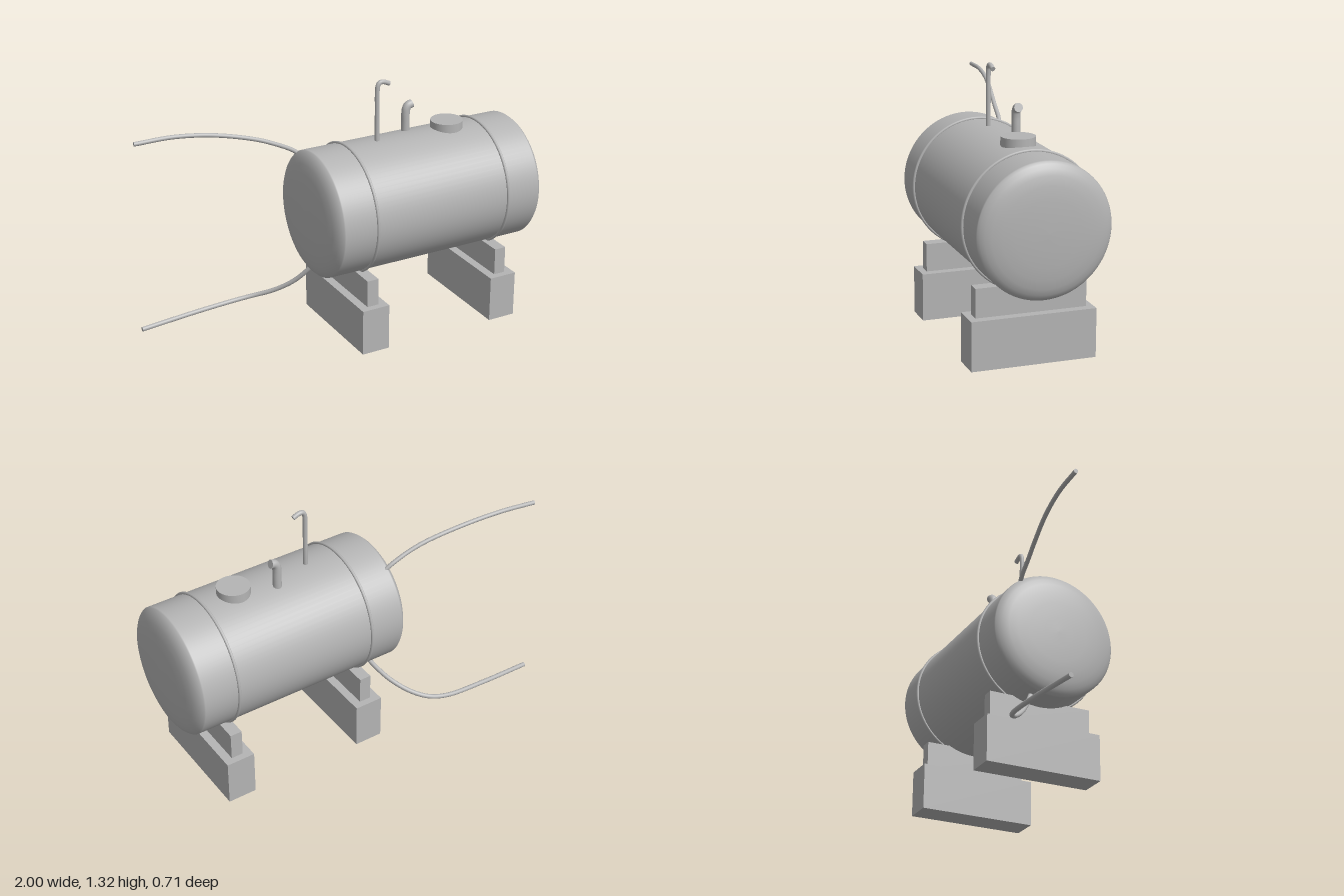
import * as THREE from 'three';

const AXIS_Y = 0.677, AXIS_Z = 0.013, RADIUS = 0.327;

export function createModel() {
  const model = new THREE.Group();
  model.name = 'storageTank';
  const steel = new THREE.MeshStandardMaterial({ color: 0xb4b4b4 });
  steel.name = 'grey steel';

  const add = (name, geometry, x = 0, y = 0, z = 0, parent = model) => {
    const mesh = new THREE.Mesh(geometry, steel);
    mesh.name = name;
    mesh.position.set(x, y, z);
    parent.add(mesh);
    return mesh;
  };

  // Round pipe along a smooth path, closed at both ends
  const pipe = (name, points, radius, segments = 40) => {
    const group = new THREE.Group();
    group.name = name;
    const curve = new THREE.CatmullRomCurve3(points.map(p => new THREE.Vector3(...p)));
    add(name + 'Wall', new THREE.TubeGeometry(curve, segments, radius, 16), 0, 0, 0, group);
    for (const t of [0, 1]) {
      const p = curve.getPointAt(t);
      const dir = curve.getTangentAt(t).multiplyScalar(t ? 1 : -1);
      const cap = add(name + 'Cap', new THREE.CircleGeometry(radius, 16), p.x, p.y, p.z, group);
      cap.quaternion.setFromUnitVectors(new THREE.Vector3(0, 0, 1), dir);
    }
    model.add(group);
  };

  // Tank shell with shallow dished heads, turned around the x axis
  const head = [[0, 0.06], [0.08, 0.059], [0.16, 0.055], [0.22, 0.049], [0.265, 0.04],
    [0.295, 0.029], [0.314, 0.016], [0.323, 0.006], [RADIUS, 0]];
  const left = 0.937, right = -0.184;
  const profile = [
    ...head.map(([r, d]) => new THREE.Vector2(r, right - d)),
    ...head.slice().reverse().map(([r, d]) => new THREE.Vector2(r, left + d)),
  ];
  const shell = add('tankShell', new THREE.LatheGeometry(profile, 80), 0, AXIS_Y, AXIS_Z);
  shell.rotation.z = -Math.PI / 2;

  // Each support: strap around the tank, saddle block and footing
  for (const x of [-0.004, 0.754]) {
    const strap = add('strap', new THREE.TorusGeometry(RADIUS + 0.003, 0.008, 8, 80), x, AXIS_Y, AXIS_Z);
    strap.rotation.y = Math.PI / 2;
    add('saddle', new THREE.BoxGeometry(0.062, 0.145, 0.55), x, 0.3135, 0.015);
    add('footing', new THREE.BoxGeometry(0.15, 0.243, 0.62), x, 0.1215, 0.015);
  }

  // Round hatch on top
  add('hatch', new THREE.CylinderGeometry(0.083, 0.083, 0.08, 48), 0.58, 1.0, 0.01);

  // Tall thin vent with a bent tip
  pipe('tallVent', [[0.17, 0.97, 0.013], [0.17, 1.15, 0.013], [0.17, 1.27, 0.013],
    [0.174, 1.295, 0.013], [0.185, 1.308, 0.013], [0.205, 1.308, 0.013], [0.237, 1.295, 0.013]], 0.012, 60);

  // Short thick vent with an elbow
  pipe('shortVent', [[0.375, 0.96, -0.055], [0.375, 1.04, -0.055], [0.375, 1.09, -0.055],
    [0.379, 1.115, -0.055], [0.39, 1.13, -0.055], [0.41, 1.136, -0.055]], 0.022, 50);

  // Supply hose rising away from the shoulder
  pipe('upperHose', [[-0.17, 0.93, -0.168], [-0.21, 0.96, -0.176], [-0.3, 1.005, -0.187],
    [-0.4, 1.043, -0.205], [-0.6, 1.088, -0.245], [-0.8, 1.107, -0.275], [-1, 1.1, -0.296]], 0.011, 60);

  // Drain hose curving down to the ground
  pipe('lowerHose', [[-0.12, 0.37, -0.08], [-0.16, 0.3, -0.12], [-0.22, 0.22, -0.18],
    [-0.3, 0.155, -0.255], [-0.38, 0.122, -0.31], [-0.48, 0.104, -0.337],
    [-0.7, 0.089, -0.342], [-1, 0.071, -0.332]], 0.012, 60);

  return model;
}
